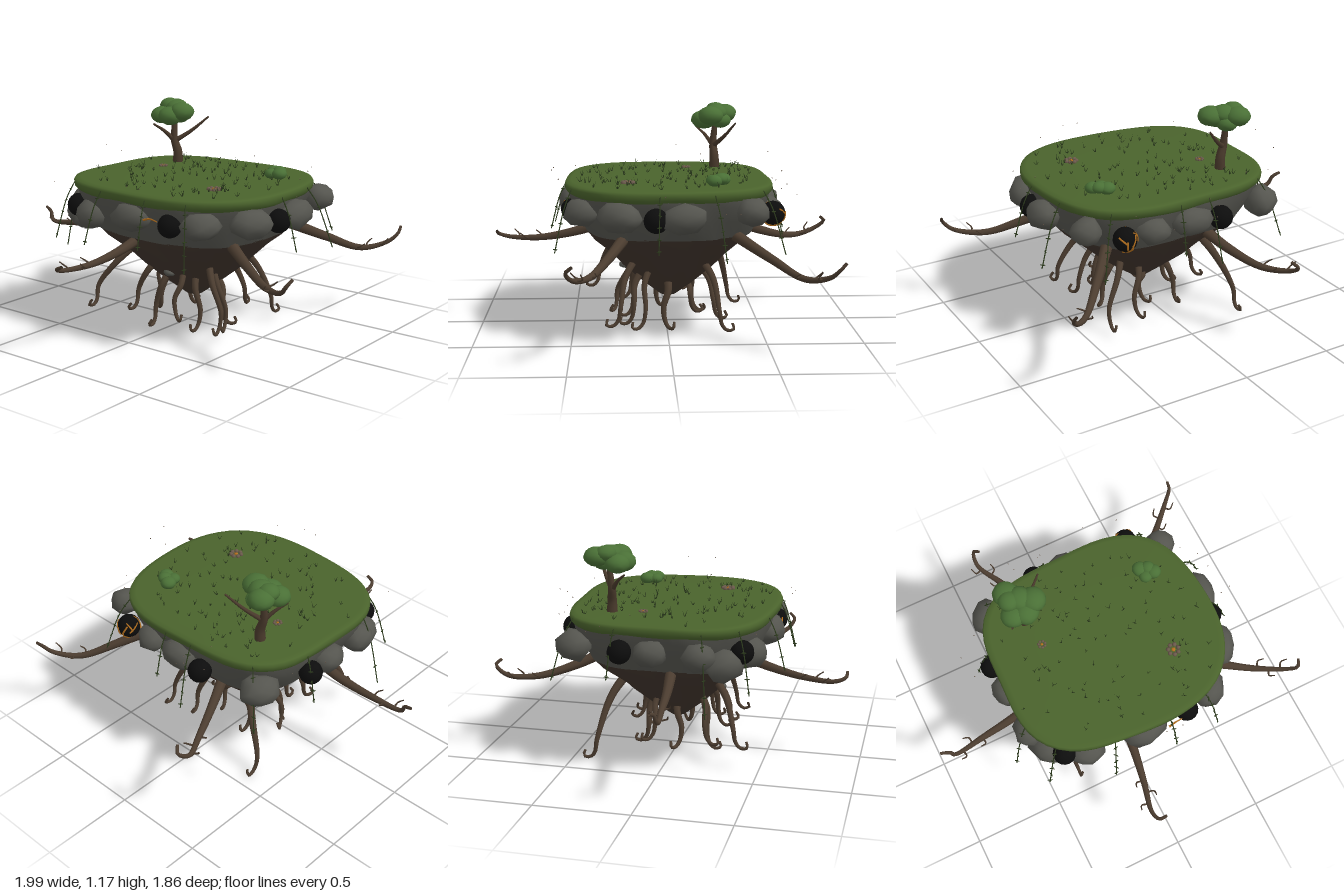
import * as THREE from 'three';
import { mergeGeometries, mergeVertices } from 'three/addons/utils/BufferGeometryUtils.js';

const V = (x, y, z) => new THREE.Vector3(x, y, z);
const mat = (color) => new THREE.MeshStandardMaterial({ color, side: THREE.DoubleSide });
const M = {
  grass: mat(0x4a632c), blade: mat(0x2a3a1c), rock: mat(0x55554f), dirt: mat(0x41352d),
  root: mat(0x4c3d30), bark: mat(0x4a3a2c), leaf: mat(0x4a7036), vine: mat(0x2e3d1e),
  hole: mat(0x0d0d0d), ember: mat(0xb5701e), stone: mat(0x6b5a4c)
};

// Small seeded generator
let seed = 7;
const rnd = () => (seed = (seed * 16807) % 2147483647) / 2147483647;
const range = (a, b) => a + (b - a) * rnd();

// Rounded-square island outline at angle a
const CX = 0.035, CZ = -0.01;
function outline(a, s = 1, n = 3) {
  const c = Math.cos(a), d = Math.sin(a);
  const r = s * Math.pow(Math.abs(c) ** n + Math.abs(d) ** n, -1 / n) * (1 + 0.012 * Math.sin(5 * a + 1));
  return [CX + 0.6 * r * c, CZ + 0.54 * r * d];
}

// Skin over rings of [scale, y, squareness, lumpiness]
function loft(rings, seg = 64) {
  const pos = [], idx = [];
  rings.forEach(([s, y, n, lump], i) => {
    for (let j = 0; j < seg; j++) {
      const a = (j / seg) * Math.PI * 2;
      const k = 1 + lump * (Math.sin(7 * a + i) + Math.sin(11 * a + 2 * i));
      const [x, z] = outline(a, s * k, n);
      pos.push(x, y, z);
      if (i < rings.length - 1) {
        const p = i * seg + j, q = i * seg + (j + 1) % seg;
        idx.push(p, q, p + seg, q, q + seg, p + seg);
      }
    }
  });
  const g = new THREE.BufferGeometry();
  g.setAttribute('position', new THREE.Float32BufferAttribute(pos, 3));
  g.setIndex(idx);
  g.computeVertexNormals();
  return g;
}

// Tube along points, tapering from r0 to r1
function taper(points, r0, r1, seg = 24, sides = 7) {
  const curve = new THREE.CatmullRomCurve3(points);
  const g = new THREE.TubeGeometry(curve, seg, 1, sides);
  const p = g.attributes.position, v = V(0, 0, 0);
  for (let i = 0; i <= seg; i++) {
    const c = curve.getPointAt(i / seg), r = r0 + (r1 - r0) * (i / seg);
    for (let j = 0; j <= sides; j++) {
      const k = i * (sides + 1) + j;
      v.fromBufferAttribute(p, k).sub(c).multiplyScalar(r).add(c);
      p.setXYZ(k, v.x, v.y, v.z);
    }
  }
  return g;
}

// Lumpy boulder with the given half-sizes
function boulder(w, h, d, detail = 1, rough = 0.12) {
  let g = new THREE.IcosahedronGeometry(1, detail);
  g.deleteAttribute('uv');
  g.deleteAttribute('normal');
  g = mergeVertices(g);
  const p = g.attributes.position;
  for (let i = 0; i < p.count; i++) {
    const k = 1 + range(-rough, rough);
    p.setXYZ(i, p.getX(i) * k * w, p.getY(i) * k * h, p.getZ(i) * k * d);
  }
  g.computeVertexNormals();
  return g;
}

export function createModel() {
  seed = 7;
  const root = new THREE.Group();
  root.name = 'floatingIsland';
  const add = (name, geo, material, x = 0, y = 0, z = 0) => {
    const m = new THREE.Mesh(geo, material);
    m.name = name;
    m.position.set(x, y, z);
    root.add(m);
    return m;
  };

  // Island: turf, rock band, earth cone
  add('turf', loft([[0, 0.812, 3, 0], [0.5, 0.812, 3, 0], [0.94, 0.812, 3, 0], [0.988, 0.807, 3, 0],
    [1, 0.792, 3, 0], [0.995, 0.768, 3, 0.002], [0.965, 0.75, 3, 0.003]]), M.grass);
  add('rockBand', loft([[0.975, 0.78, 3, 0.002], [0.96, 0.72, 3, 0.006], [0.9, 0.64, 3, 0.008], [0.8, 0.545, 3.1, 0.005]]), M.rock);
  add('earthCone', loft([[0.8, 0.55, 3.1, 0.005], [0.74, 0.505, 3, 0.008], [0.6, 0.43, 2.7, 0.012],
    [0.44, 0.335, 2.3, 0.018], [0.24, 0.235, 2, 0.02], [0.08, 0.165, 2, 0], [0, 0.15, 2, 0]]), M.dirt);

  // Boulders set into the band: x, y, z, half width, half height
  [[0.02, 0.68, 0.49, 0.12, 0.075], [-0.3, 0.64, 0.44, 0.1, 0.085], [-0.47, 0.61, 0.34, 0.1, 0.085],
    [0.42, 0.68, 0.44, 0.1, 0.075], [0.59, 0.68, 0.25, 0.115, 0.075], [0.64, 0.68, -0.07, 0.12, 0.078],
    [0.57, 0.7, -0.41, 0.08, 0.07], [0.25, 0.67, -0.51, 0.09, 0.07], [0.03, 0.68, -0.52, 0.11, 0.075],
    [-0.45, 0.66, -0.45, 0.11, 0.085], [-0.53, 0.67, -0.03, 0.09, 0.07], [-0.52, 0.66, 0.22, 0.085, 0.075],
    [0.05, 0.33, 0.22, 0.035, 0.02]
  ].forEach(([x, y, z, w, h]) => {
    add('boulder', boulder(w, h, Math.min(w, 0.085)), M.rock, x, y, z).rotation.y = Math.atan2(x - CX, z - CZ);
  });

  // Dark hollows; one is wrapped in glowing cracks
  [[-0.13, -0.55], [0.42, -0.53], [-0.55, -0.18], [-0.41, 0.42], [0.27, 0.49], [0.635, 0.07]].forEach(([x, z]) =>
    add('hollow', new THREE.SphereGeometry(0.062, 16, 12), M.hole, x, 0.67, z));
  for (let i = 0; i < 12; i++) {
    const t = add('emberCrack', new THREE.TorusGeometry(0.061, 0.005, 4, 14, range(0.6, 1.3)), M.ember, 0.42, 0.668, -0.53);
    t.rotation.set(range(0, 6), range(0, 6), range(0, 6));
  }
  add('emberVein', taper([V(0.14, 0.69, 0.54), V(0.18, 0.7, 0.535), V(0.22, 0.69, 0.53)], 0.006, 0.003, 8, 5), M.ember);

  // Long side roots, each with an upturned tip and small rootlets
  [
    [V(-0.36, 0.56, 0.05), V(-0.55, 0.485, 0.07), V(-0.75, 0.455, 0.09), V(-0.92, 0.45, 0.11), V(-0.945, 0.495, 0.1), V(-0.99, 0.515, 0.09)],
    [V(-0.03, 0.56, 0.29), V(-0.05, 0.49, 0.51), V(-0.08, 0.455, 0.7), V(-0.115, 0.455, 0.86), V(-0.1, 0.475, 0.915), V(-0.06, 0.495, 0.92)],
    [V(0.43, 0.56, 0.215), V(0.61, 0.48, 0.305), V(0.775, 0.425, 0.39), V(0.925, 0.445, 0.475), V(0.97, 0.49, 0.5), V(0.985, 0.52, 0.47)],
    [V(0.41, 0.56, -0.33), V(0.57, 0.46, -0.51), V(0.705, 0.39, -0.655), V(0.81, 0.42, -0.76), V(0.85, 0.465, -0.8), V(0.85, 0.5, -0.83)],
    [V(-0.115, 0.56, -0.34), V(-0.195, 0.47, -0.53), V(-0.28, 0.42, -0.72), V(-0.355, 0.44, -0.86), V(-0.345, 0.49, -0.925), V(-0.32, 0.515, -0.9)]
  ].forEach((pts, n) => {
    add('sideRoot', taper(pts, 0.032, 0.008, 36, 8), M.root);
    const curve = new THREE.CatmullRomCurve3(pts);
    [0.6, 0.69, 0.78].forEach((t, i) => {
      const p = curve.getPointAt(t), tan = curve.getTangentAt(t);
      const side = V(tan.z, 0, -tan.x).multiplyScalar((i + n) % 2 ? -0.04 : 0.04);
      add('rootlet', taper([p, p.clone().add(side).add(V(0, 0.01, 0)),
        p.clone().addScaledVector(side, 1.2).addScaledVector(tan, 0.03).add(V(0, 0.035, 0))], 0.006, 0.003, 8, 5), M.root);
    });
  });

  // Hanging roots: tip x, y, z and thickness; outer ones slant, inner ones drop, all curl at the tip
  [[-0.33, 0.15, 0.38, 0.024], [0.41, 0.11, 0.26, 0.022], [0.37, 0.07, -0.28, 0.022], [-0.355, 0.04, -0.38, 0.028],
    [-0.2, 0.11, 0.2, 0.022], [-0.16, 0.07, 0.04, 0.024], [-0.08, 0.04, 0.19, 0.022], [0.22, 0.07, 0.19, 0.022],
    [0.26, 0.06, 0.01, 0.026], [0.35, 0.08, 0.13, 0.02], [0.1, 0.1, -0.14, 0.02], [-0.1, 0.06, -0.16, 0.022],
    [0.2, 0.09, -0.26, 0.022], [-0.27, 0.14, -0.08, 0.02], [0.13, 0.13, 0.27, 0.02]
  ].forEach(([x, y, z, r], i) => {
    const dx = x - 0.05, len = Math.hypot(dx, z), ux = dx / len, uz = z / len;
    const s = len < 0.3 ? 0.72 * len : 0.5 * len + 0.06, top = 0.17 + 0.9 * s;
    const at = (d, h, w = 0) => V(0.05 + ux * d - uz * w, h, uz * d + ux * w);
    const w = i % 2 ? 0.035 : -0.035;
    add('hangingRoot', taper([at(s - 0.045, top + 0.02), at(s + (len - s) * 0.45, top - (top - y) * 0.32, w * 0.4),
      at(len - 0.01, y + 0.075, -w * 0.3), at(len, y, 0), at(len + 0.02, y - 0.028, w * 0.6),
      at(len + 0.045, y - 0.02, w * 1.2), at(len + 0.03, y + 0.008, w * 1.3)], r, 0.007, 32, 7), M.root);
  });

  // Tree: trunk, branches, crown
  add('trunk', taper([V(-0.3, 0.8, -0.285), V(-0.3, 0.87, -0.285), V(-0.32, 0.94, -0.28), V(-0.325, 1.05, -0.29)], 0.03, 0.014, 16, 8), M.bark);
  [[-0.16, 1.07, -0.39], [-0.4, 1.03, -0.19]].forEach(([x, y, z]) =>
    add('branch', taper([V(-0.316, 0.93, -0.28), V((x - 0.32) / 2, 0.99, (z - 0.28) / 2), V(x, y, z)], 0.015, 0.005, 12, 6), M.bark));
  [[-0.36, 1.11, -0.345, 0.068], [-0.37, 1.08, -0.235, 0.065], [-0.25, 1.105, -0.26, 0.07], [-0.31, 1.115, -0.29, 0.066],
    [-0.305, 1.08, -0.225, 0.07], [-0.365, 1.13, -0.295, 0.055], [-0.31, 1.075, -0.32, 0.058]
  ].forEach(([x, y, z, r]) => add('crownLeaves', boulder(r, r * 0.75, r, 2, 0.03), M.leaf, x, y, z));

  // Bush
  [[0.375, 0.838, -0.275, 0.042], [0.435, 0.838, -0.23, 0.04], [0.385, 0.835, -0.225, 0.036], [0.415, 0.845, -0.26, 0.038]]
    .forEach(([x, y, z, r]) => add('bush', boulder(r, r * 0.75, r, 2, 0.03), M.leaf, x, y, z));

  // Small stone circles with embers
  [[0.33, 0.205, 0.028], [-0.275, -0.125, 0.018]].forEach(([x, z, r]) => {
    for (let i = 0; i < 7; i++) {
      const a = (i / 7) * Math.PI * 2;
      add('circleStone', boulder(r * 0.42, r * 0.42, r * 0.42), M.stone, x + r * Math.cos(a), 0.815, z + r * Math.sin(a));
    }
    add('ember', boulder(r * 0.4, r * 0.3, r * 0.4), M.ember, x, 0.815, z);
  });

  // Grass tufts
  const blades = [];
  for (let i = 0; i < 110; i++) {
    const [x, z] = outline(range(0, Math.PI * 2), Math.sqrt(rnd()) * 0.92);
    for (let k = 0; k < 3; k++) {
      const h = range(0.02, 0.043);
      blades.push(new THREE.ConeGeometry(0.003, h, 3).translate(0, h / 2, 0)
        .rotateX(range(0.15, 0.7)).rotateY(k * 2.1 + i).translate(x, 0.808, z));
    }
  }
  add('grassTufts', mergeGeometries(blades), M.blade);

  // Vines hanging from the rim: outer end x, z and drop
  [[-0.51, -0.56, 0.32], [-0.2, 0.61, 0.28], [0.16, 0.61, 0.25], [0.43, 0.58, 0.33], [0.75, -0.27, 0.32], [0.56, -0.58, 0.32],
    [0.74, 0.06, 0.28], [-0.64, 0.28, 0.42], [-0.62, -0.23, 0.26], [-0.08, -0.65, 0.34], [0.12, -0.62, 0.26], [-0.53, 0.48, 0.32]
  ].forEach(([x, z, drop]) => {
    const a = Math.atan2((z - CZ) / 0.54, (x - CX) / 0.6), [sx, sz] = outline(a, 0.98);
    const curve = new THREE.CatmullRomCurve3([V(sx, 0.805, sz),
      V(sx * 0.55 + x * 0.45, 0.8 - drop * 0.3, sz * 0.55 + z * 0.45), V(x, 0.8 - drop, z)]);
    const parts = [new THREE.TubeGeometry(curve, 12, 0.003, 5)];
    for (let i = 1; i <= 5; i++) {
      const p = curve.getPointAt(i / 5.3);
      parts.push(new THREE.SphereGeometry(1, 6, 4).scale(0.015, 0.0035, 0.0035)
        .rotateY(-Math.atan2(sz - CZ, sx - CX) + Math.PI / 2 + (i % 2 ? 0.5 : -0.5)).translate(p.x, p.y, p.z));
    }
    add('vine', mergeGeometries(parts), M.vine);
  });

  // Drifting specks around the rim
  for (let i = 0; i < 20; i++) {
    const [x, z] = outline(range(0, Math.PI * 2), range(1.05, 1.25));
    add('speck', new THREE.OctahedronGeometry(0.0035), M.stone, x, range(0.7, 0.94), z);
  }
  return root;
}
